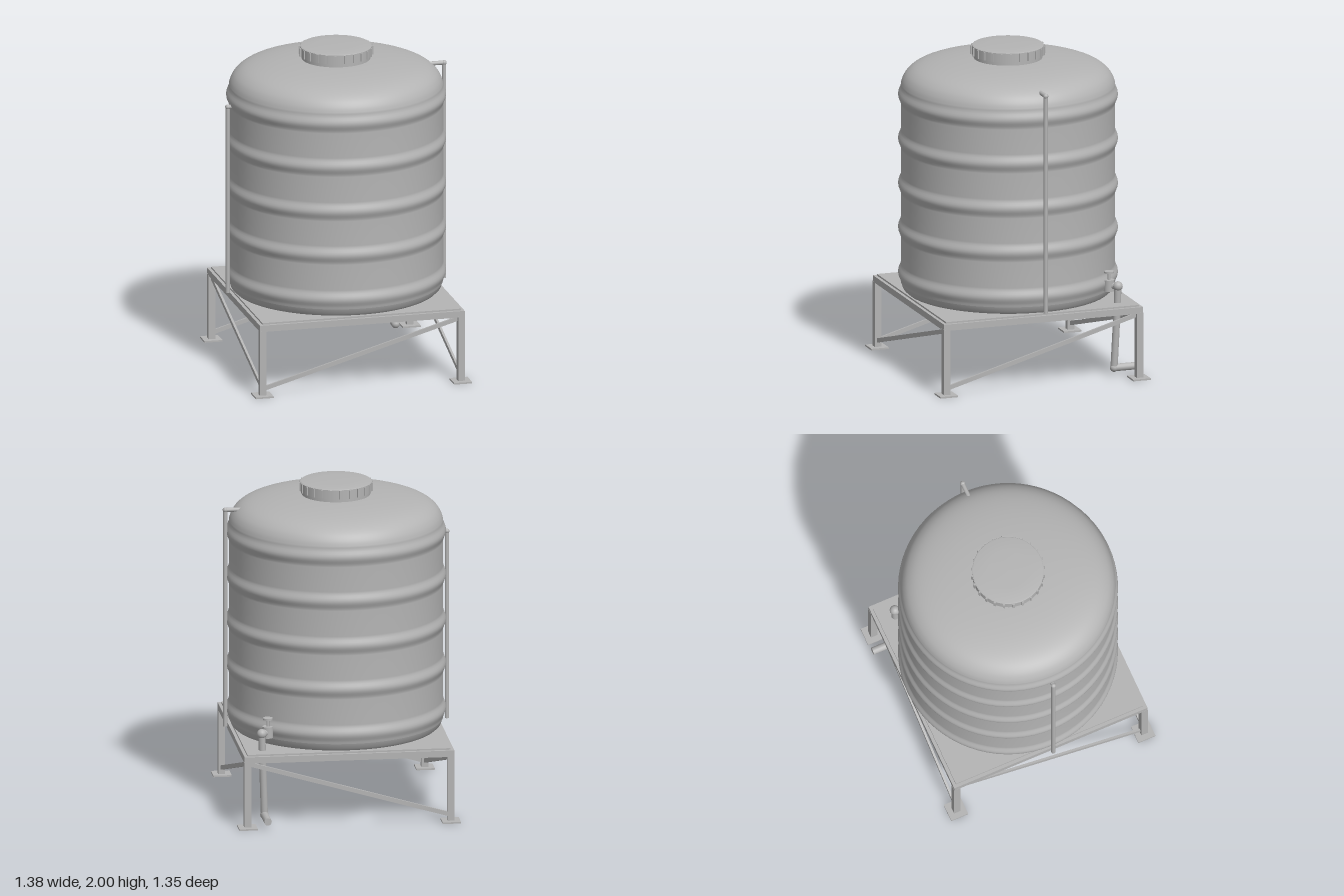
import * as THREE from 'three';

const grey = new THREE.MeshStandardMaterial({ color: 0xb4b4b4 });
grey.name = 'plainGrey';

const V = (x, y, z) => new THREE.Vector3(x, y, z);

function add(parent, name, geometry, x = 0, y = 0, z = 0) {
  const mesh = new THREE.Mesh(geometry, grey);
  mesh.name = name;
  mesh.position.set(x, y, z);
  parent.add(mesh);
  return mesh;
}

function box(parent, name, w, h, d, x, y, z) {
  return add(parent, name, new THREE.BoxGeometry(w, h, d), x, y, z);
}

// Round pipe between two points
function pipe(parent, name, a, b, r, segments = 16) {
  const mesh = add(parent, name, new THREE.CylinderGeometry(r, r, a.distanceTo(b), segments));
  mesh.position.copy(a).add(b).multiplyScalar(0.5);
  mesh.quaternion.setFromUnitVectors(V(0, 1, 0), b.clone().sub(a).normalize());
  return mesh;
}

function ball(parent, name, p, r) {
  return add(parent, name, new THREE.SphereGeometry(r, 16, 12), p.x, p.y, p.z);
}

// Ribbed tank body with a domed shoulder
function buildTank() {
  const tank = new THREE.Group();
  tank.name = 'tank';
  const pts = [[0.001, 0.46], [0.59, 0.46], [0.62, 0.468], [0.638, 0.485], [0.648, 0.515]];
  const ribs = [0.575, 0.855, 1.13, 1.41, 1.685];
  const waist = 0.649, bulge = 0.017, half = 0.06;
  for (const y of ribs) {
    for (let i = 0; i <= 10; i++) {
      const t = i / 5 - 1;
      pts.push([waist + bulge * 0.5 * (1 + Math.cos(Math.PI * t)), y + t * half]);
    }
  }
  const shoulder = new THREE.SplineCurve([
    [waist, 1.75], [0.637, 1.785], [0.61, 1.823], [0.56, 1.857], [0.48, 1.882],
    [0.36, 1.901], [0.2, 1.913], [0.001, 1.916],
  ].map(p => new THREE.Vector2(...p)));
  const profile = pts.map(p => new THREE.Vector2(...p)).concat(shoulder.getPoints(28));
  add(tank, 'tankBody', new THREE.LatheGeometry(profile, 72));

  // Screw lid with grip ridges
  add(tank, 'neck', new THREE.CylinderGeometry(0.208, 0.208, 0.06, 64), 0, 1.915, 0);
  add(tank, 'lidRim', new THREE.CylinderGeometry(0.218, 0.218, 0.055, 64), 0, 1.9625, 0);
  const cap = [[0.218, 1.988], [0.211, 1.995], [0.12, 1.999], [0.001, 2]];
  add(tank, 'lidTop', new THREE.LatheGeometry(cap.map(p => new THREE.Vector2(...p)), 64));
  for (let i = 0; i < 24; i++) {
    const a = (i / 24) * Math.PI * 2;
    const ridge = box(tank, 'lidRidge', 0.012, 0.052, 0.016,
      Math.sin(a) * 0.218, 1.962, Math.cos(a) * 0.218);
    ridge.rotation.y = a;
  }
  return tank;
}

// Square steel stand with braces
function buildStand() {
  const stand = new THREE.Group();
  stand.name = 'stand';
  box(stand, 'deck', 1.24, 0.012, 1.24, 0, 0.454, 0);
  for (const s of [-1, 1]) {
    box(stand, 'sideRail', 0.04, 0.04, 1.28, s * 0.62, 0.43, 0);
    box(stand, 'crossRail', 1.2, 0.04, 0.04, 0, 0.43, s * 0.62);
    box(stand, 'deckBeam', 1.2, 0.045, 0.03, 0, 0.4275, s * 0.21);

    // Each brace rises to the right, or to the back
    const length = Math.hypot(1.22, 0.355), slope = Math.atan2(0.355, 1.22);
    const a = box(stand, 'crossBrace', length, 0.026, 0.014, 0, 0.225, s * 0.62);
    a.rotation.z = slope;
    const b = box(stand, 'sideBrace', 0.014, 0.026, length, s * 0.62, 0.225, 0);
    b.rotation.x = slope;

    for (const t of [-1, 1]) {
      box(stand, 'leg', 0.042, 0.41, 0.042, s * 0.62, 0.211, t * 0.62);
      box(stand, 'footPlate', 0.112, 0.01, 0.112, s * 0.62, 0.005, t * 0.62);
    }
  }
  return stand;
}

// Upright pipes on both sides of the tank
function buildSidePipes() {
  const pipes = new THREE.Group();
  pipes.name = 'sidePipes';
  const r = 0.013;
  const topL = V(0.676, 1.832, 0), topR = V(-0.677, 1.652, 0);
  pipe(pipes, 'tallPipe', V(0.676, 0.475, 0), topL, r);
  pipe(pipes, 'tallPipeInlet', topL, V(0.57, 1.832, 0), r);
  ball(pipes, 'tallPipeElbow', topL, 0.016);
  pipe(pipes, 'shortPipe', V(-0.677, 0.48, 0), topR, r);
  pipe(pipes, 'shortPipeInlet', topR, V(-0.63, 1.652, 0), r);
  ball(pipes, 'shortPipeElbow', topR, 0.016);
  return pipes;
}

// Outlet with valve and drain pipe at the back corner
function buildOutlet() {
  const outlet = new THREE.Group();
  outlet.name = 'outlet';
  const elbow = V(0.52, 0.562, -0.52);
  const deckPoint = V(0.516, 0.44, -0.518);
  const bottom = V(0.502, 0.05, -0.502);
  pipe(outlet, 'outletPipe', V(0.42, 0.562, -0.42), elbow, 0.021);
  ball(outlet, 'outletElbow', elbow, 0.03);
  pipe(outlet, 'dropPipe', elbow, deckPoint, 0.022);
  pipe(outlet, 'drainPipe', deckPoint, bottom, 0.022);
  ball(outlet, 'drainElbow', bottom, 0.026);
  pipe(outlet, 'drainEnd', bottom, V(0.502, 0.05, -0.675), 0.023);
  add(outlet, 'valveBody', new THREE.CylinderGeometry(0.033, 0.033, 0.07, 20), 0.478, 0.562, -0.478);
  add(outlet, 'valveStem', new THREE.CylinderGeometry(0.009, 0.009, 0.06, 12), 0.478, 0.615, -0.478);
  add(outlet, 'valveHandle', new THREE.CylinderGeometry(0.03, 0.03, 0.012, 20), 0.478, 0.644, -0.478);
  return outlet;
}

export function createModel() {
  const model = new THREE.Group();
  model.name = 'waterTank';
  model.add(buildTank(), buildStand(), buildSidePipes(), buildOutlet());
  return model;
}
